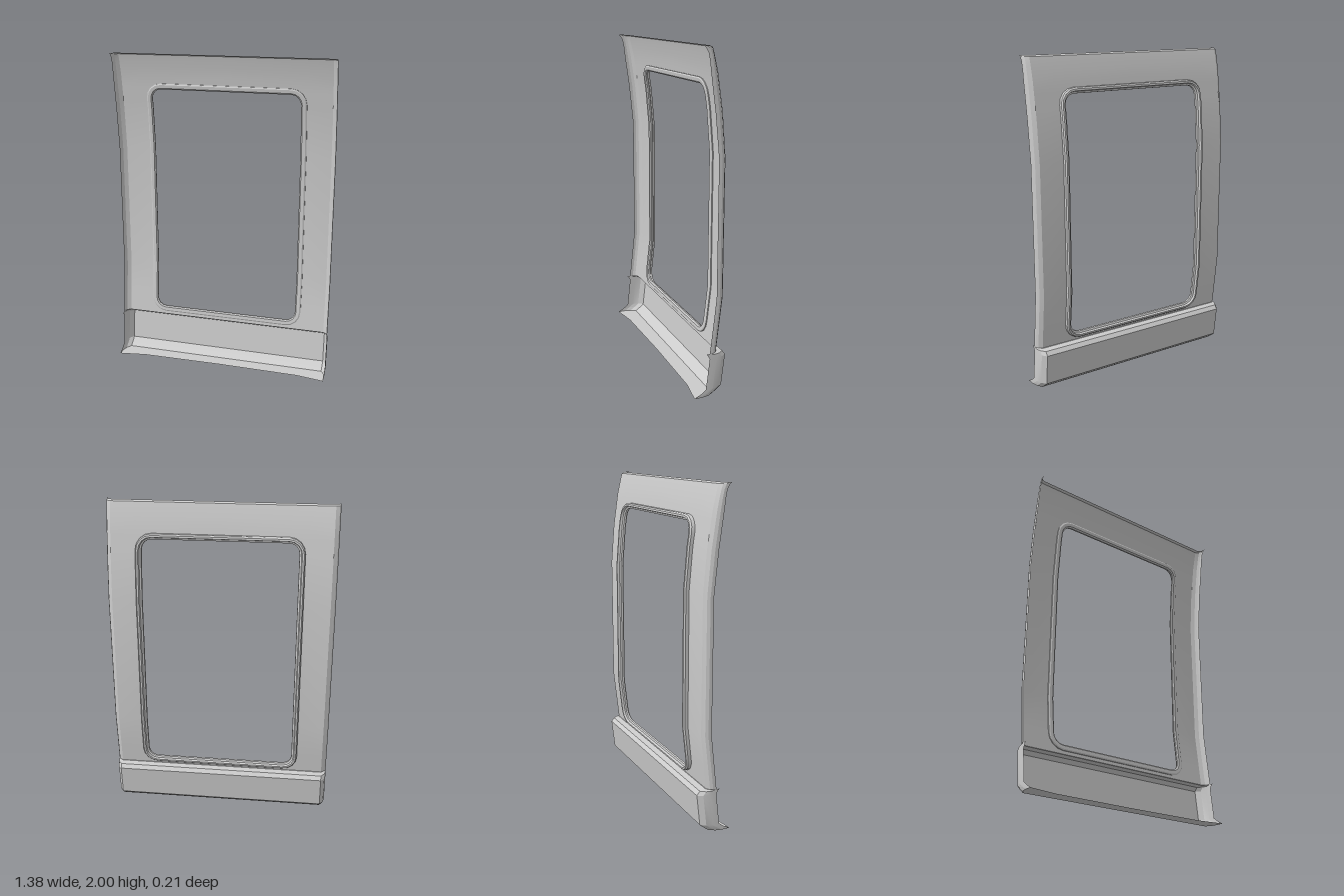
import * as THREE from 'three';
import { toCreasedNormals } from 'three/addons/utils/BufferGeometryUtils.js';

const material = new THREE.MeshStandardMaterial({ color: 0xcccccc, side: THREE.DoubleSide });

// Height, depth of the panel face, depth of the free edge of the side flange
const PROFILE = [
  [2.0, 0.025, 0.072], [1.992, 0.008, 0.06], [1.965, 0, 0.045], [1.92, -0.011, 0.036],
  [1.86, -0.025, 0.029], [1.65, -0.056, 0], [1.4, -0.077, -0.025], [0.6, -0.077, -0.025],
  [0.268, -0.04, 0.012],
];
const SILL = [
  [0.268, -0.04, 0.012], [0.266, -0.042, 0.035], [0.26, -0.08, 0.025], [0.236, -0.099, 0.012],
  [0.045, -0.077, 0.034], [0.022, -0.05, 0.065], [0, -0.02, 0.105],
];
const WINDOW = { x: 0.004, y: 1.052, hw: 0.503, hh: 0.763, r: 0.095 };
const HOLE_INSET = 0.02;
const CORNER_STEPS = 4;

// Interpolate a profile column at height y
function depth(profile, y, column) {
  for (let i = 0; i < profile.length - 1; i++) {
    const a = profile[i], b = profile[i + 1];
    if (y >= b[0]) return THREE.MathUtils.mapLinear(y, a[0], b[0], a[column], b[column]);
  }
  return profile[profile.length - 1][column];
}

// Stitch a grid of points (rows of equal length) into triangles
function stitch(out, rows, flip = false) {
  for (let i = 0; i < rows.length - 1; i++) {
    for (let j = 0; j < rows[i].length - 1; j++) {
      const a = rows[i][j], b = rows[i][j + 1], c = rows[i + 1][j + 1], d = rows[i + 1][j];
      const tris = flip ? [a, c, b, a, d, c] : [a, b, c, a, c, d];
      for (const p of tris) out.push(...p);
    }
  }
}

function makeMesh(name, positions, crease) {
  const geometry = new THREE.BufferGeometry();
  geometry.setAttribute('position', new THREE.Float32BufferAttribute(positions, 3));
  const mesh = new THREE.Mesh(toCreasedNormals(geometry, crease), material);
  mesh.name = name;
  return mesh;
}

// Half a cross-section: flat face, bevelled corner, flange turned forward
function section(side, y, face, edge, start) {
  const d = edge - face;
  return [
    [start, face], [side * 0.515, face], [side * 0.66, face], [side * 0.682, face + d * 0.28],
    [side * 0.69, face + d * 0.6], [side * 0.69, edge],
  ].map(([x, z]) => [x, y, z]);
}

// Half width of the window hole at height y
function holeHalfWidth(y) {
  const r = WINDOW.r - HOLE_INSET;
  const over = Math.max(0, Math.abs(y - WINDOW.y) - (WINDOW.hh - WINDOW.r));
  return WINDOW.hw - WINDOW.r + Math.sqrt(Math.max(0, r * r - over * over));
}

function createPanel() {
  const heights = PROFILE.map((p) => p[0]);
  const r = WINDOW.r - HOLE_INSET;
  for (let i = 0; i <= CORNER_STEPS; i++) {
    const dy = WINDOW.hh - WINDOW.r + r * Math.sin((i / CORNER_STEPS) * Math.PI / 2);
    heights.push(WINDOW.y + dy, WINDOW.y - dy);
  }
  heights.sort((a, b) => b - a);
  const positions = [];
  for (let i = 0; i < heights.length - 1; i++) {
    const band = [heights[i], heights[i + 1]];
    if (band[0] - band[1] < 1e-6) continue;
    const open = Math.abs((band[0] + band[1]) / 2 - WINDOW.y) < WINDOW.hh - HOLE_INSET;
    for (const side of [1, -1]) {
      const rows = band.map((y) => section(side, y, depth(PROFILE, y, 1), depth(PROFILE, y, 2),
        open ? WINDOW.x + side * holeHalfWidth(y) : 0));
      stitch(positions, rows, side < 0);
    }
  }
  return makeMesh('sidePanel', positions, 0.35);
}

function createSill() {
  const positions = [];
  for (const side of [1, -1]) {
    const rows = SILL.map(([y, face, edge]) => section(side, y, face, edge, 0));
    // Bottom lip, deeper towards its ends
    const last = rows[rows.length - 1];
    rows.push(last.map(([x]) => [x, 0, 0.07 + 0.035 * Math.max(0, Math.abs(x) - 0.47) / 0.22]));
    stitch(positions, rows, side < 0);
  }
  return makeMesh('lowerSill', positions, 0.35);
}

// Rounded window outline, counter-clockwise, following the panel's curve
function windowLoop(inset, offset) {
  const { x, y, hw, hh, r } = WINDOW;
  const points = [];
  const bends = [0.6, 1.4];
  const corners = [[1, 1], [-1, 1], [-1, -1], [1, -1]];
  corners.forEach(([sx, sy], k) => {
    for (let i = 0; i <= CORNER_STEPS; i++) {
      const a = (k + i / CORNER_STEPS) * Math.PI / 2;
      points.push([x + sx * (hw - r) + Math.cos(a) * (r - inset),
        y + sy * (hh - r) + Math.sin(a) * (r - inset)]);
    }
    if (k === 1) for (const by of [1.65, ...bends.slice().reverse()]) points.push([x - hw + inset, by]);
    if (k === 3) for (const by of [...bends, 1.65]) points.push([x + hw - inset, by]);
  });
  points.push(points[0]);
  return points.map(([px, py]) => [px, py, depth(PROFILE, py, 1) + offset]);
}

function createWindowFrame() {
  // Closed section: inset from the outline, offset from the panel face
  const profile = [
    [0, 0.006], [0, -0.02], [0.007, -0.029], [0.018, -0.029], [0.023, -0.014],
    [0.034, -0.008], [0.036, 0.004], [0.028, 0.011], [0.008, 0.011], [0, 0.006],
  ];
  const positions = [];
  stitch(positions, profile.map(([inset, offset]) => windowLoop(inset, offset)));
  return makeMesh('windowFrame', positions, 0.5);
}

export function createModel() {
  const model = new THREE.Group();
  model.name = 'windowPanel';
  model.add(createPanel(), createSill(), createWindowFrame());
  return model;
}
